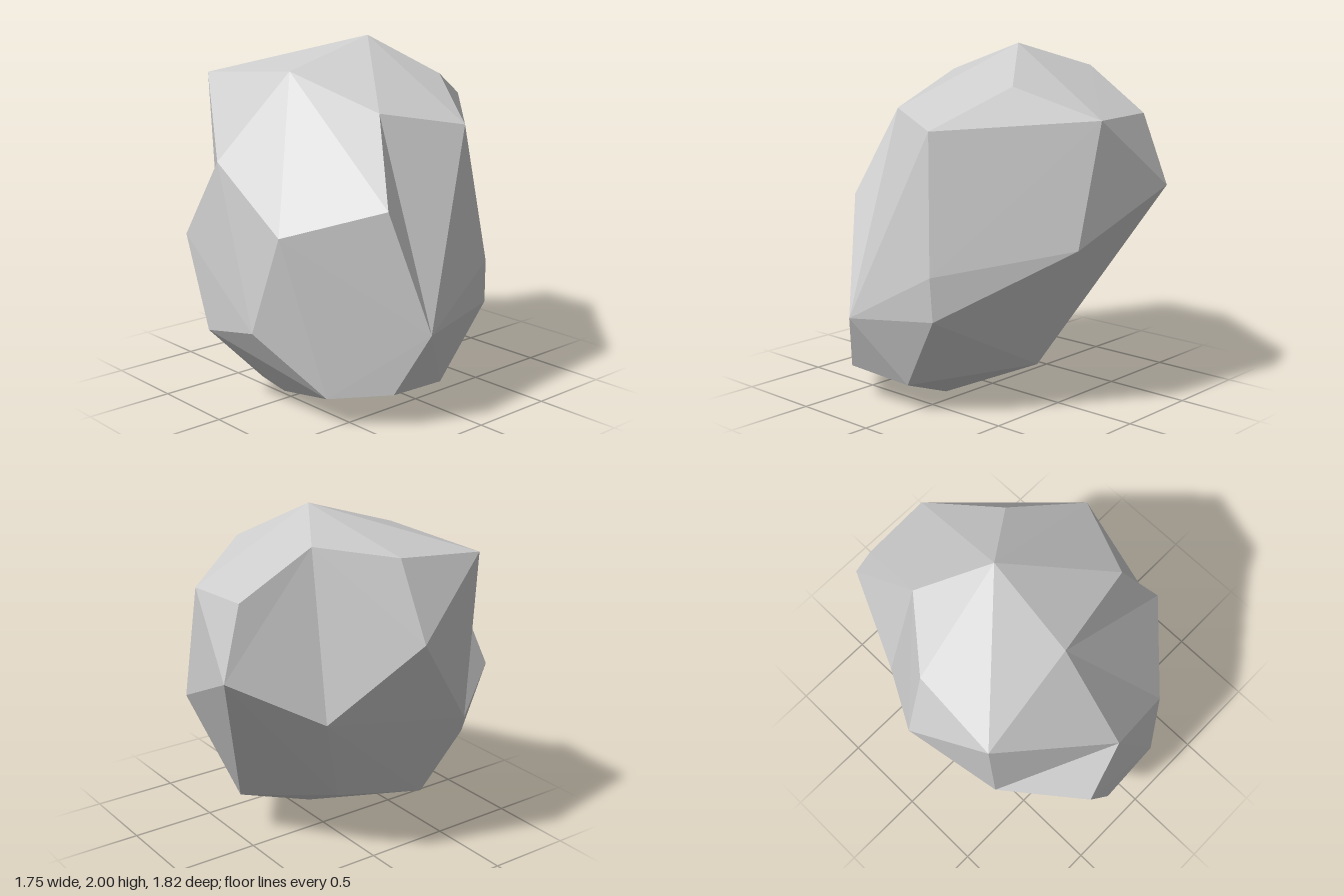
import * as THREE from 'three';
import { ConvexGeometry } from 'three/addons/geometries/ConvexGeometry.js';

// Corners of the boulder, grouped from the crown down to the base
const crown = [
  [-0.06, 2, -0.14], [-0.1, 1.83, 0.4], [-0.74, 1.78, 0.49], [-0.71, 1.82, -0.02],
  [-0.42, 1.87, -0.37], [0.27, 1.79, -0.39], [0.48, 1.65, 0.27], [0.68, 1.57, -0.17],
  [0.03, 1.62, -0.8], [-0.37, 1.63, -0.78],
];
const waist = [
  [-0.15, 1.38, 0.86], [-0.88, 1.39, 0.02], [0.69, 1.18, 0.4], [-0.42, 1.24, -0.91],
  [0.29, 1.03, 0.8], [-0.39, 0.95, 0.91], [-0.7, 0.82, 0.47], [-0.64, 0.97, -0.43],
  [0.2, 0.95, -0.79], [0.77, 0.82, -0.26],
];
const base = [
  [0.875, 0.53, 0.26], [0.76, 0.58, -0.27], [0.18, 0.51, 0.9], [-0.2, 0.44, 0.91],
  [-0.37, 0.38, -0.16], [-0.44, 0.28, 0.39], [0.16, 0.26, -0.48], [0.74, 0.2, 0.4],
  [0.49, 0.17, 0.65], [0.69, 0.16, 0], [-0.06, 0.14, 0.65], [0.07, 0.08, 0.6],
  [0.06, 0.06, 0.55], [0.29, 0, 0.1],
];

// Ridges (pairs of corners) that are turned into hollows, in this order
const hollows = [
  [2, 15],                   // front right cheek
  [7, 12],                   // left shoulder
  [6, 10], [6, 14],          // upper front
  [9, 3], [9, 11], [11, 13], // back right shoulder
];

// Convex hull as triples of corner numbers
function hullFaces(corners) {
  const position = new ConvexGeometry(corners).attributes.position;
  const vertex = new THREE.Vector3();
  const faces = [];
  for (let i = 0; i < position.count; i++) {
    vertex.fromBufferAttribute(position, i);
    if (i % 3 === 0) faces.push([]);
    faces.at(-1).push(corners.findIndex((c) => c.distanceTo(vertex) < 1e-4));
  }
  return faces;
}

// Replaces the ridge a-b by the other diagonal of its two triangles
function carve(faces, a, b) {
  const beside = (p, q) => faces.findIndex((f) => f.some((v, k) => v === p && f[(k + 1) % 3] === q));
  const i = beside(a, b);
  const j = beside(b, a);
  if (i < 0 || j < 0) return;
  const c = faces[i].find((v) => v !== a && v !== b);
  const d = faces[j].find((v) => v !== a && v !== b);
  faces[i] = [a, d, c];
  faces[j] = [d, b, c];
}

export function createModel() {
  const group = new THREE.Group();
  group.name = 'rock';

  // Faceted boulder: flat facets over the corners, with a few shallow hollows
  const corners = [...crown, ...waist, ...base].map((p) => new THREE.Vector3(...p));
  const faces = hullFaces(corners);
  hollows.forEach(([a, b]) => carve(faces, a, b));

  const geometry = new THREE.BufferGeometry().setFromPoints(faces.flat().map((v) => corners[v]));
  geometry.computeVertexNormals();
  const boulder = new THREE.Mesh(
    geometry,
    new THREE.MeshStandardMaterial({ color: 0xcccccc, flatShading: true }),
  );
  boulder.name = 'boulder';
  group.add(boulder);
  return group;
}
